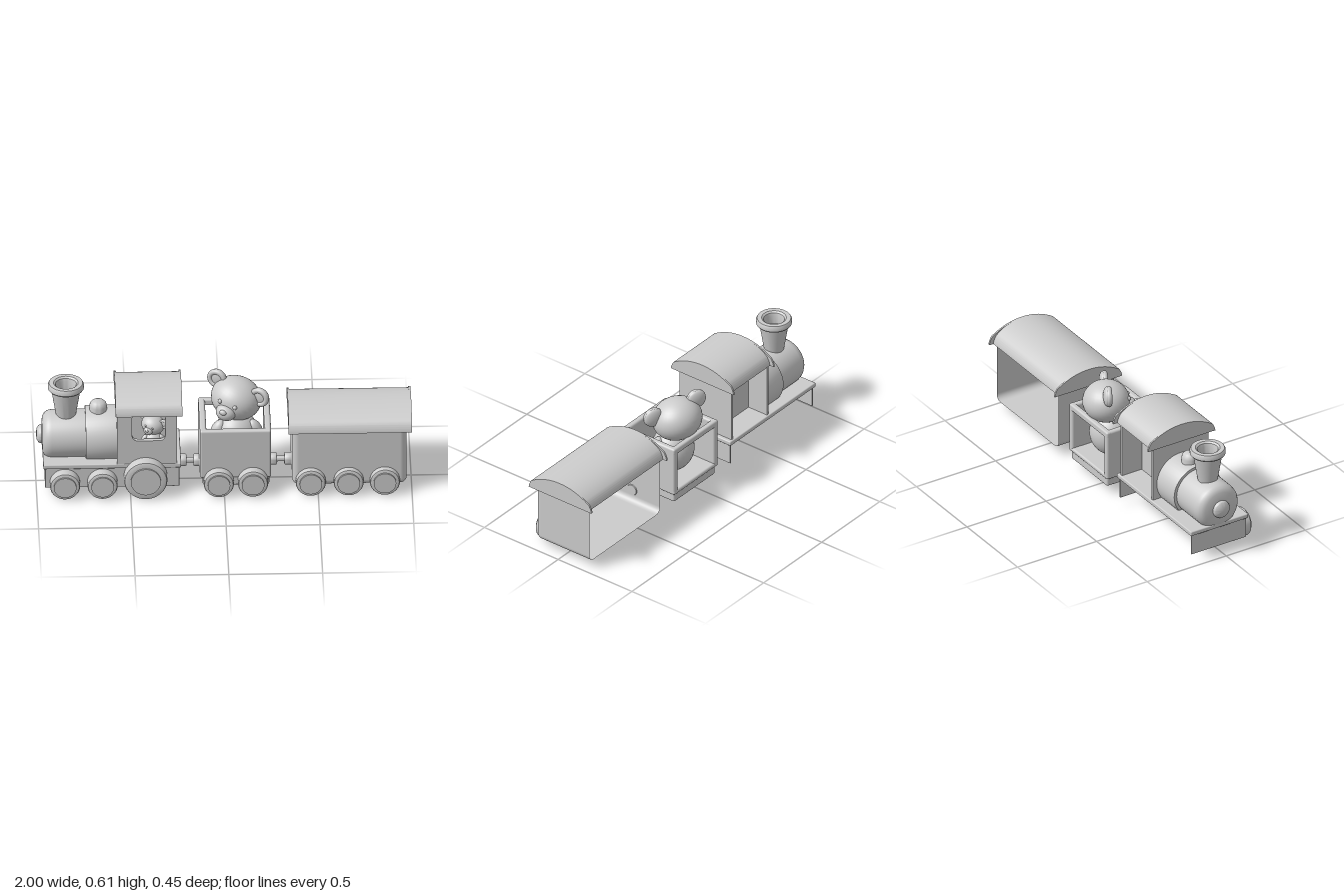
import * as THREE from 'three';
import { toCreasedNormals } from 'three/addons/utils/BufferGeometryUtils.js';
import { RoundedBoxGeometry } from 'three/addons/geometries/RoundedBoxGeometry.js';

const MID = -0.015; // centre line of the train in z
const BACK = -0.19; // open rear plane of the bodies
const mat = new THREE.MeshStandardMaterial({ color: 0xcccccc });
const thin = new THREE.MeshStandardMaterial({ color: 0xcccccc, side: THREE.DoubleSide });

function add(parent, name, geo, x = 0, y = 0, z = 0, material = mat) {
  const mesh = new THREE.Mesh(geo, material);
  mesh.name = name;
  mesh.position.set(x, y, z);
  parent.add(mesh);
  return mesh;
}

function group(parent, name) {
  const g = new THREE.Group();
  g.name = name;
  parent.add(g);
  return g;
}

// Box given by its limits, with softened edges
function block(parent, name, x0, x1, y0, y1, z0, z1, r = 0.006) {
  const geo = new RoundedBoxGeometry(x1 - x0, y1 - y0, z1 - z0, 2, r);
  return add(parent, name, geo, (x0 + x1) / 2, (y0 + y1) / 2, (z0 + z1) / 2);
}

// Turned part from [radius, height] pairs, creased at hard edges
function turned(points, segments = 40) {
  const geo = new THREE.LatheGeometry(points.map(p => new THREE.Vector2(p[0], p[1])), segments);
  return toCreasedNormals(geo, 0.6);
}

function wheel(parent, x, r, hub, z0, z1) {
  const e = 0.012;
  const geo = turned([[0, z0], [r, z0], [r, z1 - e], [r - e * 0.3, z1 - e * 0.3], [r - e, z1],
    [hub, z1], [hub, z1 + 0.009], [0, z1 + 0.009]], 48);
  geo.rotateX(Math.PI / 2);
  add(parent, 'wheel', geo, x, r + 0.003, 0, thin);
}
const smallWheel = (parent, x) => wheel(parent, x, 0.08, 0.06, 0.125, 0.209);

// Arched roof; its thin end rims reach a little further back than the cover
function roof(parent, x0, x1, y) {
  const half = (front, back) => {
    const s = new THREE.Shape();
    s.moveTo(-front, 0);
    s.quadraticCurveTo(-front + 0.002, 0.022, -0.182, 0.046);
    s.bezierCurveTo(-0.12, 0.085, -0.06, 0.105, 0.012, 0.105);
    s.bezierCurveTo(0.085, 0.105, 0.145, 0.085, back - 0.018, 0.046);
    s.quadraticCurveTo(back - 0.002, 0.022, back, 0);
    return s;
  };
  const piece = (name, a, b, back) => {
    const geo = new THREE.ExtrudeGeometry(half(0.2, back), { depth: b - a, bevelEnabled: false, curveSegments: 14 });
    geo.rotateY(Math.PI / 2);
    add(parent, name, toCreasedNormals(geo, 0.5), a, y, 0);
  };
  piece('roof', x0 + 0.01, x1 - 0.01, 0.2);
  piece('roofEndRim', x0, x0 + 0.01, 0.225);
  piece('roofEndRim', x1 - 0.01, x1, 0.225);
}

// Rounded tub, open at the back and the top
function openTub(x0, x1, y0, y1, z0, z1, r) {
  const geo = new RoundedBoxGeometry(x1 - x0, y1 - y0 + r, z1 - z0 + r, 4, r);
  geo.translate((x0 + x1) / 2, (y0 + y1 + r) / 2, (z0 - r + z1) / 2);
  const p = geo.attributes.position, n = geo.attributes.normal, pos = [], nor = [];
  for (let i = 0; i < p.count; i += 3) {
    const ids = [i, i + 1, i + 2];
    if (ids.every(k => p.getZ(k) < z0 + 1e-4) || ids.every(k => p.getY(k) > y1 - 1e-4)) continue;
    for (const k of ids) {
      pos.push(p.getX(k), Math.min(p.getY(k), y1), Math.max(p.getZ(k), z0));
      nor.push(n.getX(k), n.getY(k), n.getZ(k));
    }
  }
  const out = new THREE.BufferGeometry();
  out.setAttribute('position', new THREE.Float32BufferAttribute(pos, 3));
  out.setAttribute('normal', new THREE.Float32BufferAttribute(nor, 3));
  return out;
}

function coupler(parent, x0, x1) {
  const L = x1 - x0, k = L * 0.34;
  const geo = turned([[0, 0], [0.03, 0], [0.033, 0.006], [0.033, k - 0.006], [0.03, k], [0.015, k],
    [0.015, L - k], [0.03, L - k], [0.033, L - k + 0.006], [0.033, L - 0.006], [0.03, L], [0, L]], 24);
  geo.rotateZ(-Math.PI / 2);
  add(parent, 'coupler', geo, x0, 0.118, 0.0);
}

// Toy bear: head with face and cupped ears, plus a round body
function bear(parent, x, y, z, scale) {
  const g = group(parent, 'bear');
  g.position.set(x, y, z);
  g.scale.setScalar(scale);
  const ball = (to, name, r, px, py, pz, sx = 1, sy = 1, sz = 1) => {
    const m = add(to, name, new THREE.SphereGeometry(r, 32, 20), px, py, pz);
    m.scale.set(sx, sy, sz);
    return m;
  };
  const head = group(g, 'head');
  head.rotation.set(0, -0.48, -0.2, 'YZX');
  ball(head, 'skull', 0.13, 0, 0, 0, 1.06, 0.88, 0.98);
  ball(head, 'muzzle', 0.055, 0, -0.03, 0.115, 1, 0.82, 0.9);
  ball(head, 'nose', 0.016, 0, -0.008, 0.16, 1.25, 0.9, 0.8);
  for (const s of [-1, 1]) {
    ball(head, 'eye', 0.012, s * 0.045, 0.022, 0.117);
    const ear = group(head, 'ear');
    ear.position.set(s * 0.128, 0.068, -0.005);
    add(ear, 'earRim', new THREE.TorusGeometry(0.041, 0.015, 14, 32), 0, 0, 0.01);
    ball(ear, 'earBack', 0.053, 0, 0, 0, 1, 1, 0.4);
    ball(g, 'arm', 0.04, s * 0.1, -0.16, 0.06, 0.9, 1.5, 0.9).rotation.z = s * 0.4;
  }
  ball(g, 'body', 0.12, 0, -0.2, 0.03, 1, 1.05, 0.95);
}

function buildEngine(root) {
  const g = group(root, 'engine');
  // Deck and skirt, open below
  block(g, 'deck', -0.965, -0.23, 0.168, 0.195, -0.2, 0.164);
  block(g, 'frontSkirt', -0.955, -0.24, 0.05, 0.17, 0.143, 0.155, 0.002);
  for (const x of [-0.955, -0.25]) block(g, 'endSkirt', x, x + 0.01, 0.05, 0.17, BACK, 0.155, 0.002);
  smallWheel(g, -0.85);
  smallWheel(g, -0.65);
  wheel(g, -0.42, 0.115, 0.08, 0.13, 0.219);

  // Boiler with a rounded nose and central knob
  const boiler = turned([[0, 0], [0.15, 0], [0.15, 0.155], [0.146, 0.165], [0.13, 0.165], [0.13, 0.345],
    [0.126, 0.365], [0.115, 0.383], [0.095, 0.394], [0.05, 0.398], [0.05, 0.405], [0.046, 0.414],
    [0.03, 0.424], [0, 0.428]], 48);
  boiler.rotateZ(Math.PI / 2);
  add(g, 'boiler', boiler, -0.572, 0.285, MID);

  // Hollow chimney and steam dome
  const chimney = turned([[0.05, 0.39], [0.056, 0.42], [0.078, 0.56], [0.09, 0.562], [0.096, 0.57], [0.096, 0.59],
    [0.09, 0.6], [0.066, 0.6], [0.056, 0.592], [0.052, 0.575], [0.05, 0.53], [0, 0.53]]);
  add(g, 'chimney', chimney, -0.84, 0, MID, thin);
  const dome = turned([[0.047, 0.41], [0.047, 0.455], [0.043, 0.47], [0.034, 0.48], [0.02, 0.486], [0, 0.488]], 32);
  add(g, 'steamDome', dome, -0.668, 0, MID);

  // Cab: pierced front wall, side walls and recessed rear panel
  const wall = new THREE.Shape();
  wall.moveTo(-0.572, 0.19).lineTo(-0.252, 0.19).lineTo(-0.252, 0.515).lineTo(-0.572, 0.515);
  const hole = new THREE.Path();
  const [a, b, c, d, r] = [-0.492, -0.315, 0.337, 0.488, 0.035];
  hole.moveTo(a + r, c).lineTo(b - r, c).quadraticCurveTo(b, c, b, c + r).lineTo(b, d - 0.015);
  hole.quadraticCurveTo(b, d, b - 0.015, d).lineTo(a + 0.015, d).quadraticCurveTo(a, d, a, d - 0.015);
  hole.lineTo(a, c + r).quadraticCurveTo(a, c, a + r, c);
  wall.holes.push(hole);
  const front = new THREE.ExtrudeGeometry(wall, { depth: 0.022, bevelEnabled: false });
  add(g, 'cabFrontWall', toCreasedNormals(front, 0.5), 0, 0, 0.14);
  for (const x of [-0.572, -0.267]) block(g, 'cabSideWall', x, x + 0.015, 0.19, 0.515, BACK, 0.15, 0.002);
  block(g, 'cabRearPanel', -0.56, -0.26, 0.19, 0.515, -0.065, -0.055, 0.002);
  roof(g, -0.58, -0.225, 0.508);
  bear(g, -0.378, 0.388, 0.075, 0.46);
}

function buildOpenCar(root) {
  const g = group(root, 'openCar');
  block(g, 'base', -0.115, 0.24, 0.05, 0.105, -0.188, 0.155, 0.01);
  block(g, 'floor', -0.13, 0.25, 0.1, 0.125, -0.197, 0.163, 0.01);
  block(g, 'frontWall', -0.13, 0.25, 0.1, 0.39, 0.128, 0.163, 0.012);
  for (const x of [-0.13, 0.215]) block(g, 'sideWall', x, x + 0.035, 0.1, 0.39, -0.197, 0.163, 0.012);
  block(g, 'rearRim', -0.13, 0.25, 0.352, 0.39, -0.197, -0.165, 0.01);
  smallWheel(g, -0.03);
  smallWheel(g, 0.152);
  bear(g, 0.07, 0.455, -0.075, 1);
}

function buildWagon(root) {
  const g = group(root, 'coveredWagon');
  add(g, 'body', openTub(0.362, 0.972, 0.05, 0.39, BACK, 0.177, 0.035), 0, 0, 0, thin);
  roof(g, 0.342, 1.0, 0.387);
  for (const x of [0.46, 0.662, 0.855]) smallWheel(g, x);
}

export function createModel() {
  const root = new THREE.Group();
  root.name = 'toyTrain';
  buildEngine(root);
  buildOpenCar(root);
  buildWagon(root);
  coupler(root, -0.24, -0.118);
  coupler(root, 0.24, 0.367);
  return root;
}
